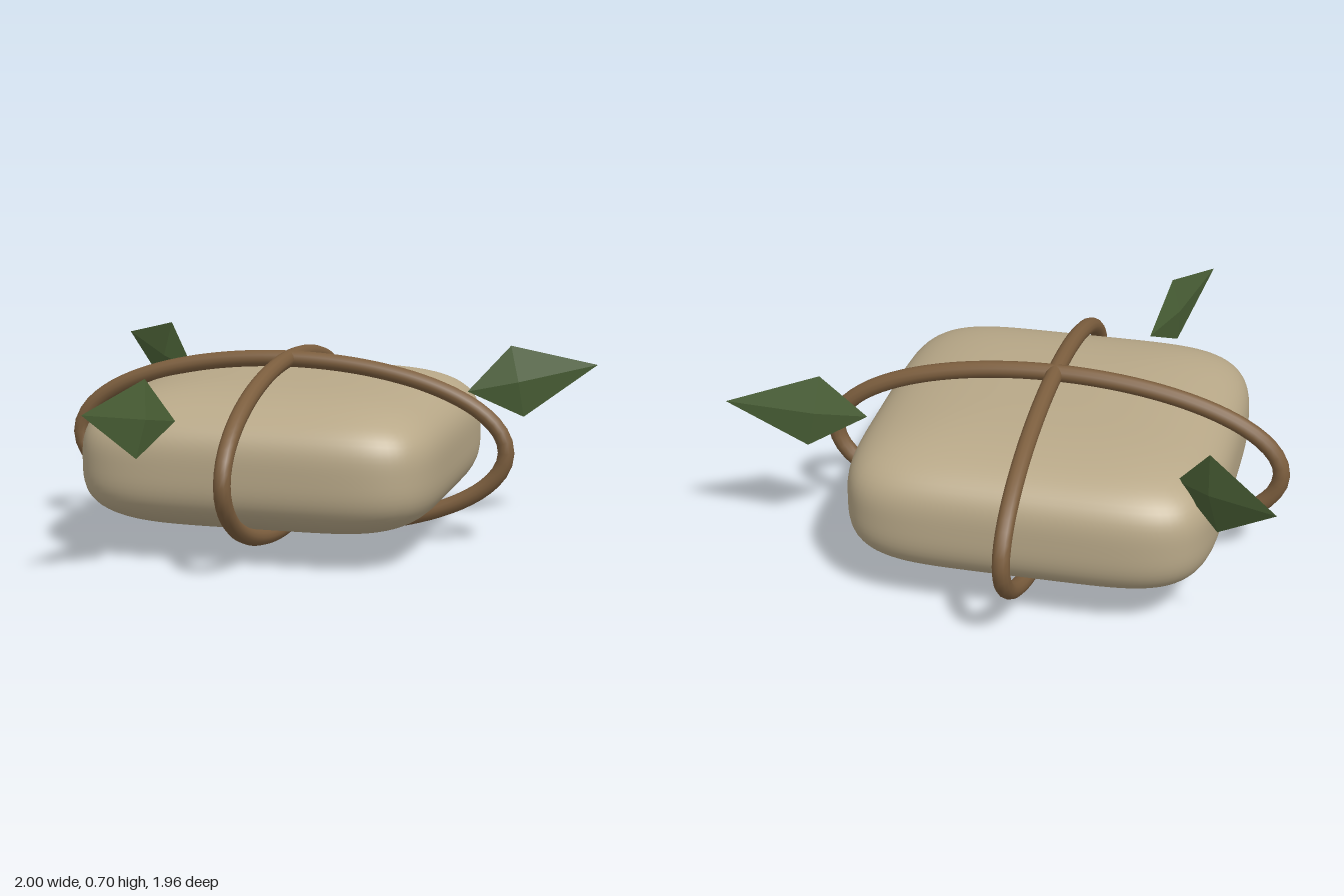
import * as THREE from 'three';
import { mergeVertices } from 'three/addons/utils/BufferGeometryUtils.js';

const cloth = new THREE.MeshStandardMaterial({ color: 0xb8a888 });
cloth.name = 'beige cloth';
const twine = new THREE.MeshStandardMaterial({ color: 0x7c5e3e });
twine.name = 'brown twine';
const foliage = new THREE.MeshStandardMaterial({ color: 0x4a6036, flatShading: true });
foliage.name = 'leaf green';

// Cube pushed onto a superellipsoid: squarish from above, rounder from the side
function bundleGeometry(a, b, planPower, sidePower) {
  let geo = new THREE.BoxGeometry(2, 2, 2, 32, 24, 32);
  geo.deleteAttribute('uv');
  geo.deleteAttribute('normal');
  geo = mergeVertices(geo);
  const p = geo.attributes.position;
  const v = new THREE.Vector3();
  for (let i = 0; i < p.count; i++) {
    v.fromBufferAttribute(p, i);
    const plan = (Math.abs(v.x) ** planPower + Math.abs(v.z) ** planPower) ** (1 / planPower);
    const f = (plan ** sidePower + Math.abs(v.y) ** sidePower) ** (1 / sidePower);
    p.setXYZ(i, (v.x / f) * a, (v.y / f) * b, (v.z / f) * a);
  }
  geo.computeVertexNormals();
  return geo;
}

// Elliptical loop in the xy plane
class Loop extends THREE.Curve {
  getPoint(t, target = new THREE.Vector3()) {
    const s = t * Math.PI * 2;
    return target.set(0.83 * Math.cos(s), 0.316 * Math.sin(s), 0);
  }
}

// Kite-shaped leaf along +x with its widest point at the origin
function leafGeometry() {
  const geo = new THREE.OctahedronGeometry(1, 0);
  const p = geo.attributes.position;
  for (let i = 0; i < p.count; i++) {
    const x = p.getX(i);
    p.setXYZ(i, x * (x > 0 ? 0.312 : 0.193), p.getY(i) * 0.139, p.getZ(i) * 0.023);
  }
  geo.computeVertexNormals();
  return geo;
}

export function createModel() {
  const model = new THREE.Group();
  model.name = 'wrappedBundle';
  const body = new THREE.Group();
  body.name = 'body';
  body.position.set(-0.104, 0.347, -0.122);
  model.add(body);

  const bundle = new THREE.Mesh(bundleGeometry(0.662, 0.262, 5.5, 3.2), cloth);
  bundle.name = 'bundle';
  body.add(bundle);

  // Two crossing twine loops
  const loopGeo = new THREE.TubeGeometry(new Loop(), 96, 0.031, 12, true);
  ['sideTwine', 'lengthTwine'].forEach((name, i) => {
    const loop = new THREE.Mesh(loopGeo, twine);
    loop.name = name;
    loop.rotation.y = (i * Math.PI) / 2;
    body.add(loop);
  });

  // Leaves pointing outwards, tips slightly raised
  const leafGeo = leafGeometry();
  [['leftLeaf', 340], ['frontLeaf', 110], ['backRightLeaf', 220]].forEach(([name, degrees]) => {
    const angle = THREE.MathUtils.degToRad(degrees);
    const leaf = new THREE.Mesh(leafGeo, foliage);
    leaf.name = name;
    leaf.position.set(Math.cos(angle) * 0.867, 0.218, Math.sin(angle) * 0.867);
    leaf.rotation.set(0, -angle, 0.19);
    body.add(leaf);
  });

  return model;
}
